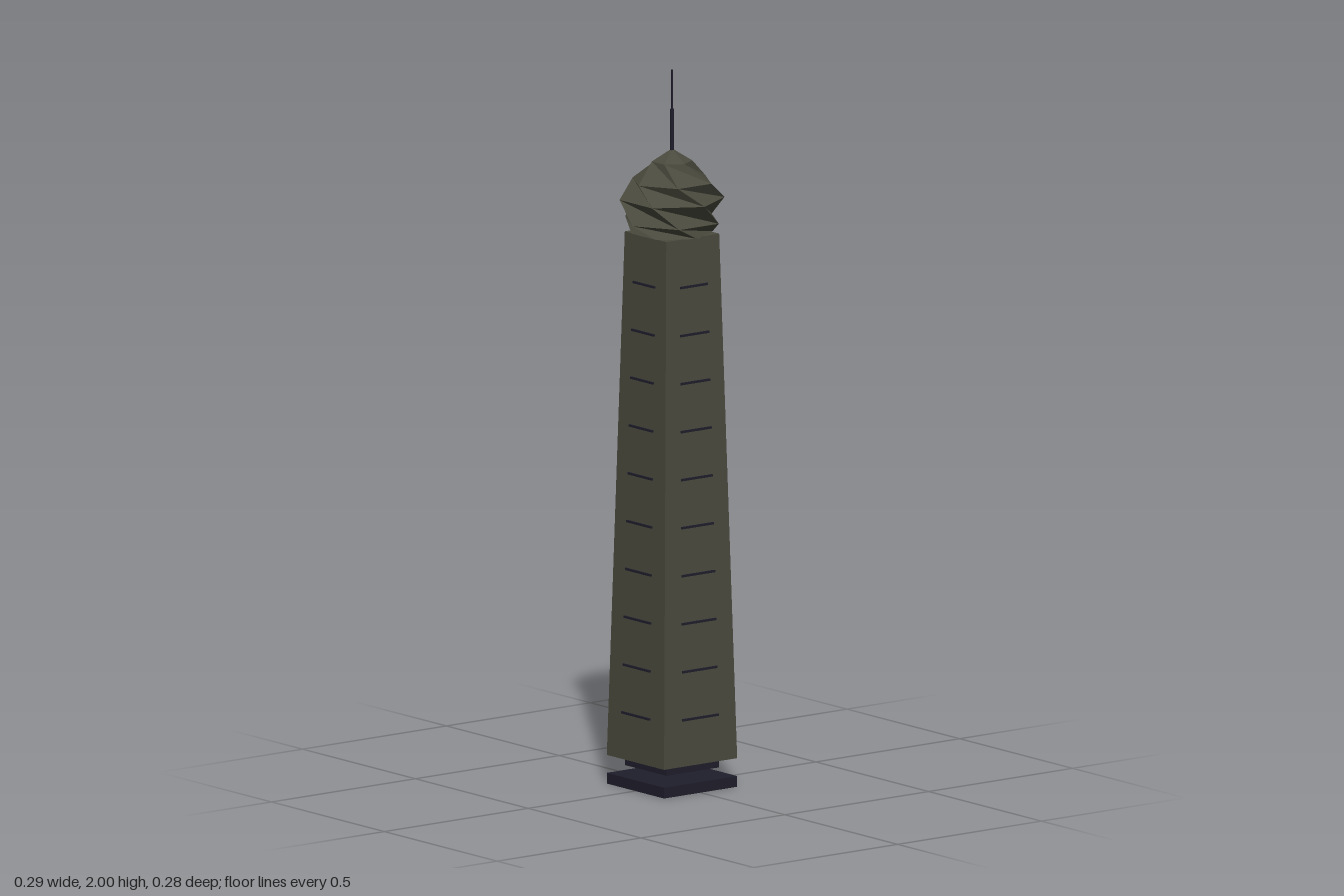
import * as THREE from 'three';

const stone = new THREE.MeshStandardMaterial({ color: 0x4a4a3e, flatShading: true });
stone.name = 'olive stone';
const dark = new THREE.MeshStandardMaterial({ color: 0x1e1d2b, flatShading: true });
dark.name = 'dark navy metal';

const BOTTOM = 0.08, TOP = 1.545, WIDE = 0.127, NARROW = 0.092;

function add(parent, name, geometry, material, x = 0, y = 0, z = 0) {
  const mesh = new THREE.Mesh(geometry, material);
  mesh.name = name;
  mesh.position.set(x, y, z);
  parent.add(mesh);
  return mesh;
}

// Six-sided rings, each turned 30 degrees from the one above, joined by skewed facets
function twistedDome() {
  const rings = [[0, 1.78], [0.056, 1.745], [0.116, 1.69], [0.145, 1.64], [0.138, 1.58], [0.112, TOP], [0, TOP]];
  const point = (k, i) => {
    const [r, y] = rings[k];
    const a = (i * 2 - (k - 1)) * Math.PI / 6;
    return [r * Math.cos(a), y, r * Math.sin(a)];
  };
  const positions = [];
  for (let k = 0; k < rings.length - 1; k++) {
    for (let i = 0; i < 6; i++) {
      const a = point(k, i), b = point(k + 1, i);
      const aNext = point(k, i + 1), bNext = point(k + 1, i + 1);
      if (rings[k][0] > 0) positions.push(...b, ...a, ...aNext);
      if (rings[k + 1][0] > 0) positions.push(...b, ...aNext, ...bNext);
    }
  }
  const geometry = new THREE.BufferGeometry();
  geometry.setAttribute('position', new THREE.Float32BufferAttribute(positions, 3));
  geometry.computeVertexNormals();
  return geometry;
}

export function createModel() {
  const model = new THREE.Group();
  model.name = 'tower';

  // Stepped base plates, spaced apart
  add(model, 'basePlate', new THREE.BoxGeometry(0.254, 0.03, 0.254), dark, 0, 0.015, 0);
  add(model, 'upperPlate', new THREE.BoxGeometry(0.184, 0.018, 0.184), dark, 0, 0.062, 0);

  // Tapered square shaft
  const shaft = new THREE.CylinderGeometry(NARROW * Math.SQRT2, WIDE * Math.SQRT2, TOP - BOTTOM, 4);
  shaft.rotateY(Math.PI / 4);
  add(model, 'shaft', shaft, stone, 0, (TOP + BOTTOM) / 2, 0);

  // Ten narrow slits up each face
  for (let side = 0; side < 4; side++) {
    const face = new THREE.Group();
    face.name = 'slits' + (side + 1);
    face.rotation.y = side * Math.PI / 2;
    for (let i = 0; i < 10; i++) {
      const y = 0.21 + i * 0.1335;
      const half = THREE.MathUtils.lerp(WIDE, NARROW, (y - BOTTOM) / (TOP - BOTTOM));
      add(face, 'slit', new THREE.BoxGeometry(half, 0.006, 0.0095), dark, 0, y, half);
    }
    model.add(face);
  }

  // Faceted dome
  add(model, 'dome', twistedDome(), stone);

  // Two-stage mast
  add(model, 'mast', new THREE.CylinderGeometry(0.006, 0.006, 0.12, 8), dark, 0, 1.83, 0);
  add(model, 'mastTip', new THREE.CylinderGeometry(0.0025, 0.0025, 0.11, 6), dark, 0, 1.945, 0);

  return model;
}
